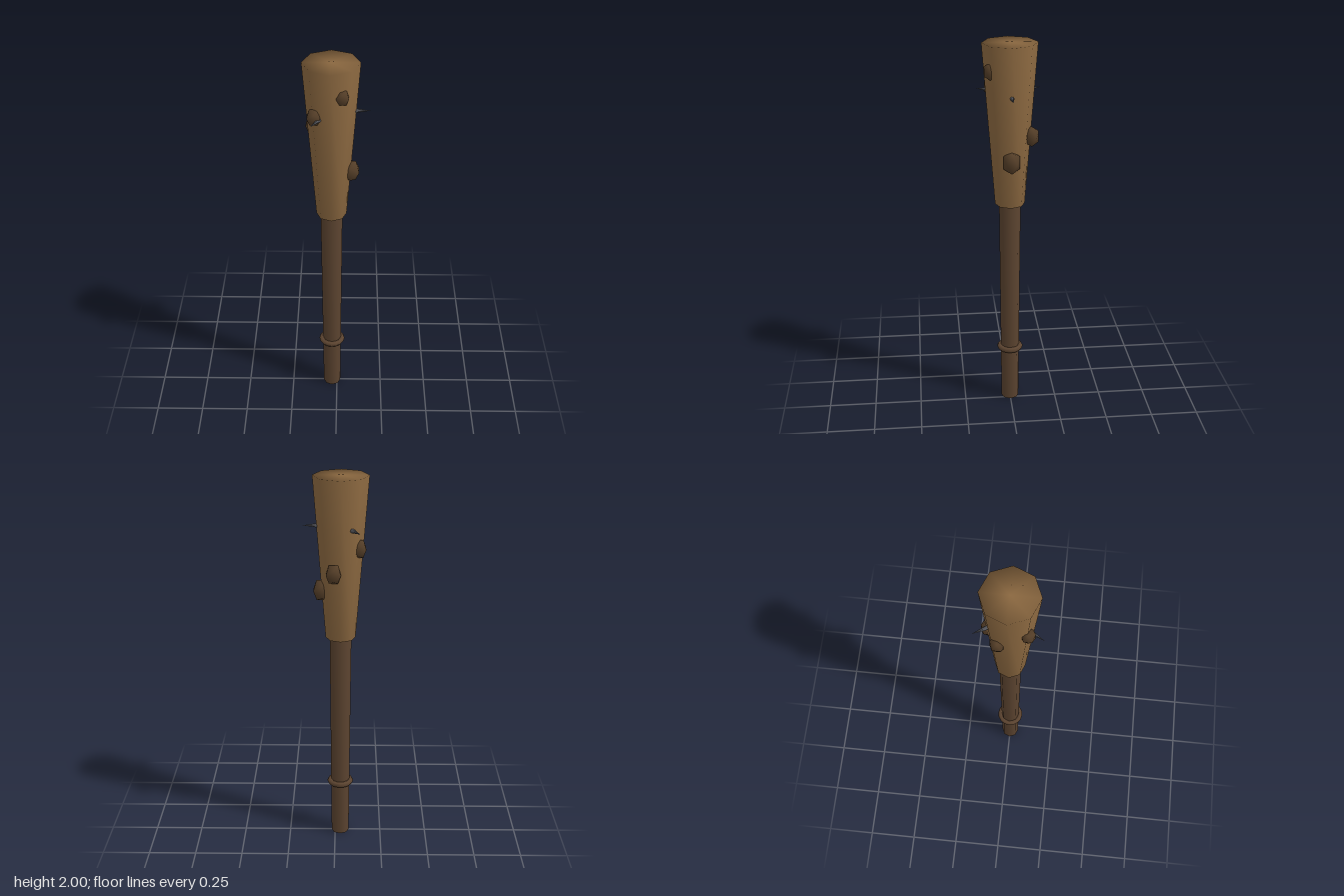
import * as THREE from 'three';
import { mergeVertices } from 'three/addons/utils/BufferGeometryUtils.js';

const mat = (name, color) => {
  const m = new THREE.MeshStandardMaterial({ color });
  m.name = name;
  return m;
};

// Closed eight-sided taper with softly blended rims
const taper = (y0, r0, y1, r1) => new THREE.LatheGeometry(
  [[0, y0], [r0, y0], [r1, y1], [0, y1]].map(([x, y]) => new THREE.Vector2(x, y)), 8);

export function createModel() {
  const headWood = mat('light wood', 0x8b6840);
  const handleWood = mat('dark wood', 0x5c4430);
  const knotWood = mat('knot wood', 0x574029);
  const iron = mat('dark iron', 0x55565c);

  const model = new THREE.Group();
  model.name = 'spikedClub';
  const club = new THREE.Group();
  club.name = 'club';
  club.position.x = -0.028; // the spikes shift the shaft off centre
  model.add(club);

  const add = (name, geometry, material) => {
    const mesh = new THREE.Mesh(geometry, material);
    mesh.name = name;
    club.add(mesh);
    return mesh;
  };

  // Shaft, grip ring and head
  add('handle', taper(0, 0.047, 1.17, 0.056), handleWood);
  add('head', taper(1.16, 0.077, 2, 0.14), headWood);
  const ring = add('gripRing', new THREE.TorusGeometry(0.055, 0.015, 6, 16), handleWood);
  ring.rotation.x = Math.PI / 2;
  ring.position.y = 0.315;

  // Wooden knots: x, y, z, size
  let knot = new THREE.IcosahedronGeometry(1, 0);
  knot.deleteAttribute('normal');
  knot.deleteAttribute('uv');
  knot = mergeVertices(knot);
  knot.computeVertexNormals();
  [
    [0.053, 1.87, 0.1, 0.037],
    [0.096, 1.415, 0, 0.049],
    [-0.082, 1.76, 0.09, 0.038],
    [-0.09, 1.645, -0.05, 0.042],
    [0.035, 1.53, -0.105, 0.043],
  ].forEach(([x, y, z, s], i) => {
    const k = add('knot' + (i + 1), knot, knotWood);
    k.position.set(x, y, z);
    k.scale.set(s, s * 1.28, s);
  });

  // Three iron spikes around the head
  const spike = new THREE.ConeGeometry(0.015, 0.1, 6);
  spike.rotateZ(-Math.PI / 2);
  spike.translate(0.141, 1.75, 0);
  for (let i = 0; i < 3; i++) {
    add('spike' + (i + 1), spike, iron).rotation.y = i * Math.PI * 2 / 3;
  }
  return model;
}
